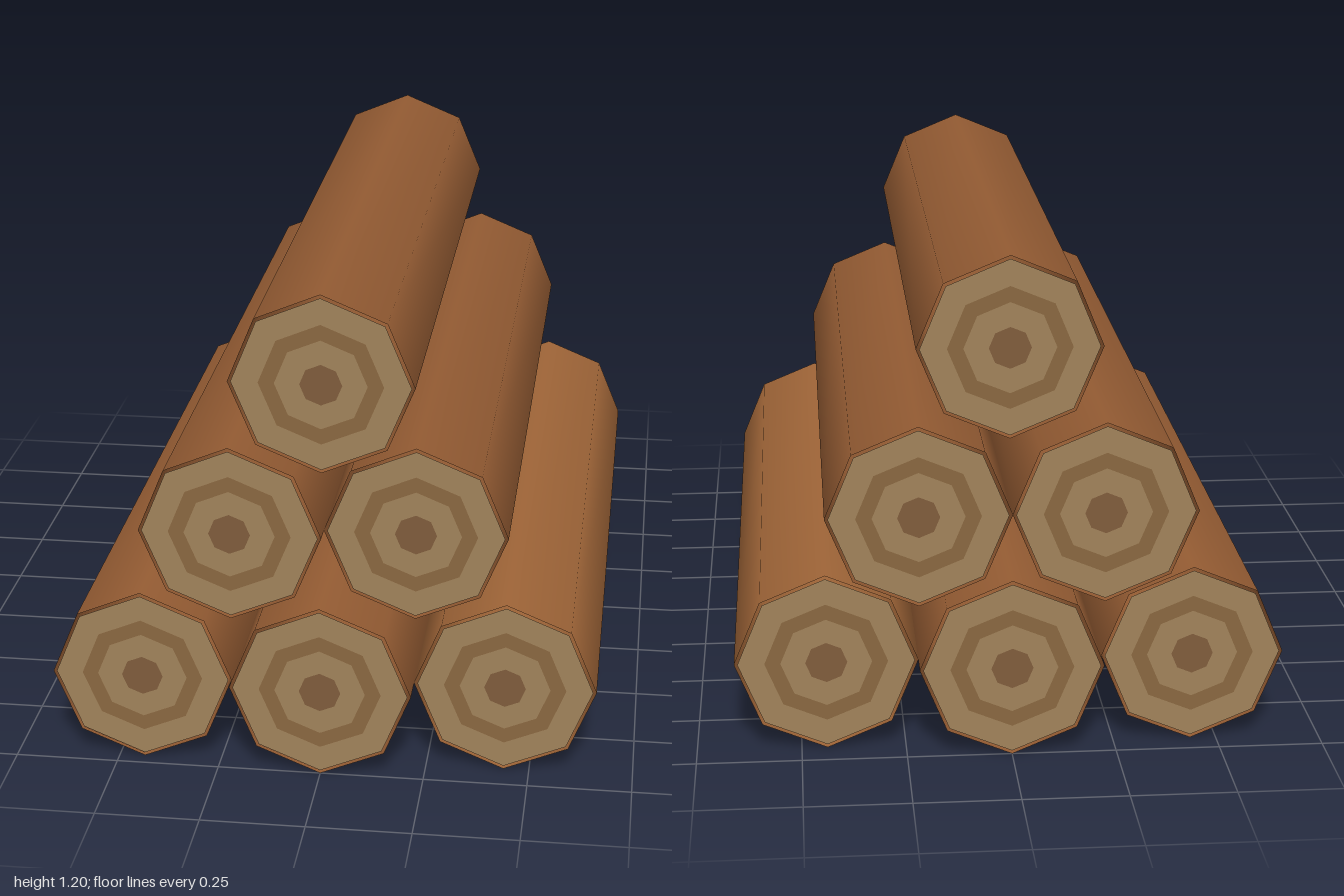
import * as THREE from 'three';

const R = 0.219;      // bark radius
const SIDES = 8;

const mat = (color, side = THREE.FrontSide) => new THREE.MeshStandardMaterial({ color, side, roughness: 0.9 });

// Growth rings of a sawn end: inner radius, outer radius, material
const light = mat(0xa0825a), dark = mat(0x896740), core = mat(0x7f5c3c);
const RINGS = [
  ['sapwood', 0.147, 0.211, light],
  ['outerRing', 0.109, 0.147, dark],
  ['heartwood', 0.05, 0.109, light],
  ['pith', 0, 0.05, core],
];

function createEnd(name) {
  const end = new THREE.Group();
  end.name = name;
  for (const [ring, inner, outer, material] of RINGS) {
    const geometry = inner > 0
      ? new THREE.RingGeometry(inner, outer, SIDES, 1)
      : new THREE.CircleGeometry(outer, SIDES);
    const mesh = new THREE.Mesh(geometry, material);
    mesh.name = ring;
    end.add(mesh);
  }
  return end;
}

function createLog(name, x, y, back, front, color) {
  const log = new THREE.Group();
  log.name = name;
  const length = front - back;

  // Open octagonal tube of bark, smooth shaded, lying along z
  const geometry = new THREE.CylinderGeometry(R, R, length, SIDES, 1, true).rotateX(Math.PI / 2);
  const bark = new THREE.Mesh(geometry, mat(color, THREE.DoubleSide));
  bark.name = 'bark';

  const frontEnd = createEnd('frontEnd');
  frontEnd.position.z = length / 2;
  const backEnd = createEnd('backEnd');
  backEnd.position.z = -length / 2;
  backEnd.rotation.y = Math.PI;

  log.add(bark, frontEnd, backEnd);
  log.position.set(x, y, (front + back) / 2);
  return log;
}

export function createModel() {
  const pile = new THREE.Group();
  pile.name = 'logPile';

  // Rows of 3, 2 and 1; every log has its own back and front z
  const rows = [
    [['bottomRightLog', -0.94, 0.965, 0x955c33], ['bottomMiddleLog', -1, 1, 0x955c33], ['bottomLeftLog', -0.93, 0.925, 0x9e6437]],
    [['middleRightLog', -0.995, 0.955, 0x925a32], ['middleLeftLog', -0.995, 0.905, 0x925a32]],
    [['topLog', -0.915, 0.94, 0x925a32]],
  ];
  rows.forEach((row, level) => {
    row.forEach(([name, back, front, color], i) => {
      const x = (i - (row.length - 1) / 2) * R * 2;
      pile.add(createLog(name, x, R + level * 0.381, back, front, color));
    });
  });
  return pile;
}
